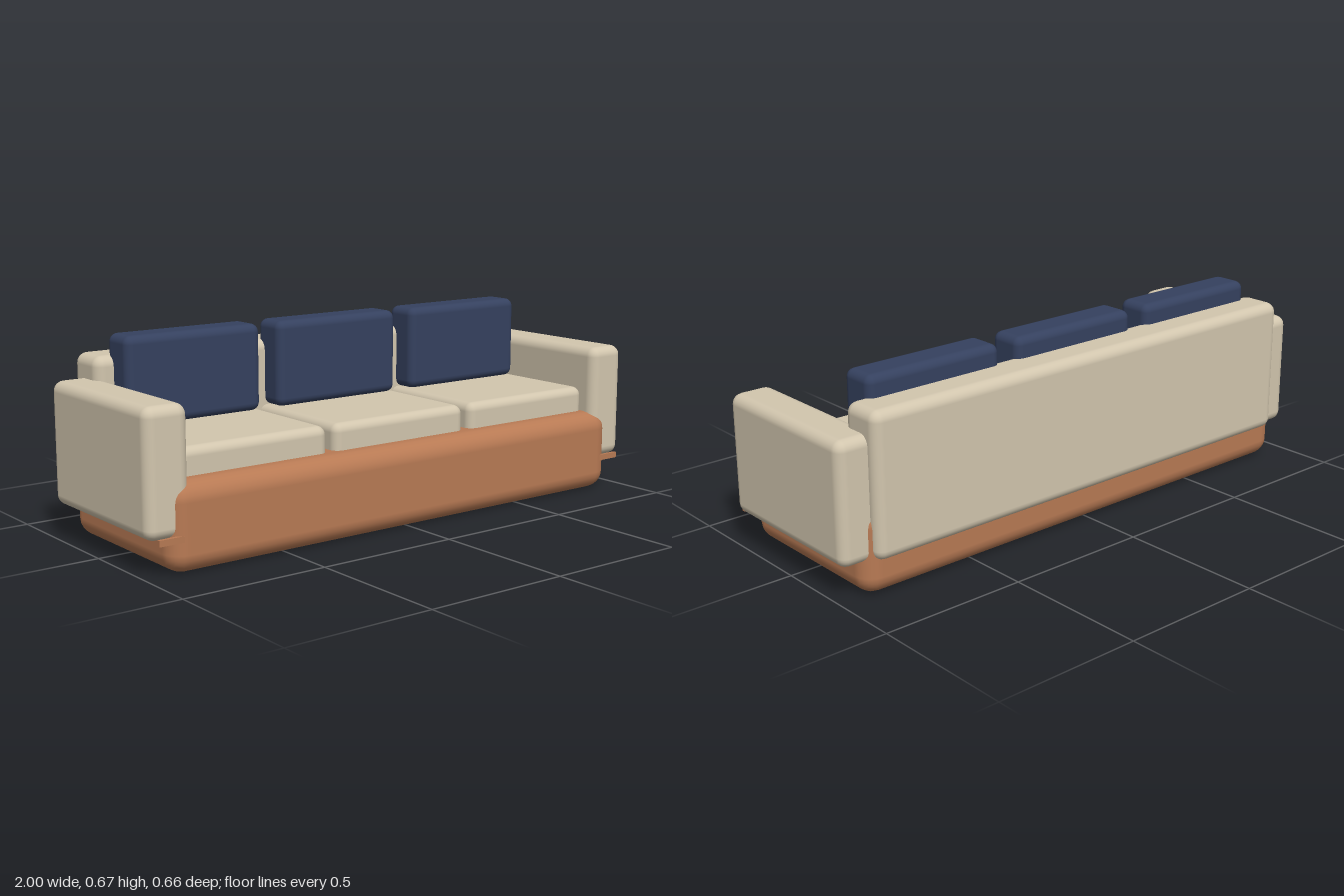
import * as THREE from 'three';
import { RoundedBoxGeometry } from 'three/addons/geometries/RoundedBoxGeometry.js';

const material = (name, color) => {
  const m = new THREE.MeshStandardMaterial({ color });
  m.name = name;
  return m;
};

export function createModel() {
  const cream = material('cream fabric', 0xd2c6ae);
  const brown = material('brown base', 0xb87a54);
  const navy = material('navy fabric', 0x35415f);
  const sofa = new THREE.Group();
  sofa.name = 'sofa';

  // Rounded block given by its [min, max] range on each axis
  const block = (name, mat, [x0, x1], [y0, y1], [z0, z1], radius) => {
    const size = [x1 - x0, y1 - y0, z1 - z0];
    const geometry = radius
      ? new RoundedBoxGeometry(...size, 3, radius)
      : new THREE.BoxGeometry(...size);
    const mesh = new THREE.Mesh(geometry, mat);
    mesh.name = name;
    mesh.position.set((x0 + x1) / 2, (y0 + y1) / 2, (z0 + z1) / 2);
    sofa.add(mesh);
  };

  // Base, thin front rail and backrest
  block('base', brown, [-0.928, 0.928], [0, 0.285], [-0.305, 0.328], 0.063);
  block('frontRail', brown, [-0.97, 0.97], [0.105, 0.125], [0.313, 0.325], 0);
  block('backrest', cream, [-0.895, 0.895], [0.12, 0.597], [-0.328, -0.172], 0.035);

  // Armrests
  for (const [side, s] of [['left', 1], ['right', -1]]) {
    const xs = [0.85 * s, s].sort((a, b) => a - b);
    block(side + 'Armrest', cream, xs, [0.115, 0.52], [-0.29, 0.312], 0.035);
  }

  // Seat and back cushions
  ['right', 'middle', 'left'].forEach((side, i) => {
    const x = (i - 1) * 0.579;
    block(side + 'SeatCushion', cream, [x - 0.276, x + 0.276], [0.23, 0.373], [-0.2, 0.257], 0.03);
    block(side + 'BackCushion', navy, [x - 0.254, x + 0.254], [0.373, 0.666], [-0.217, -0.087], 0.028);
  });

  return sofa;
}
